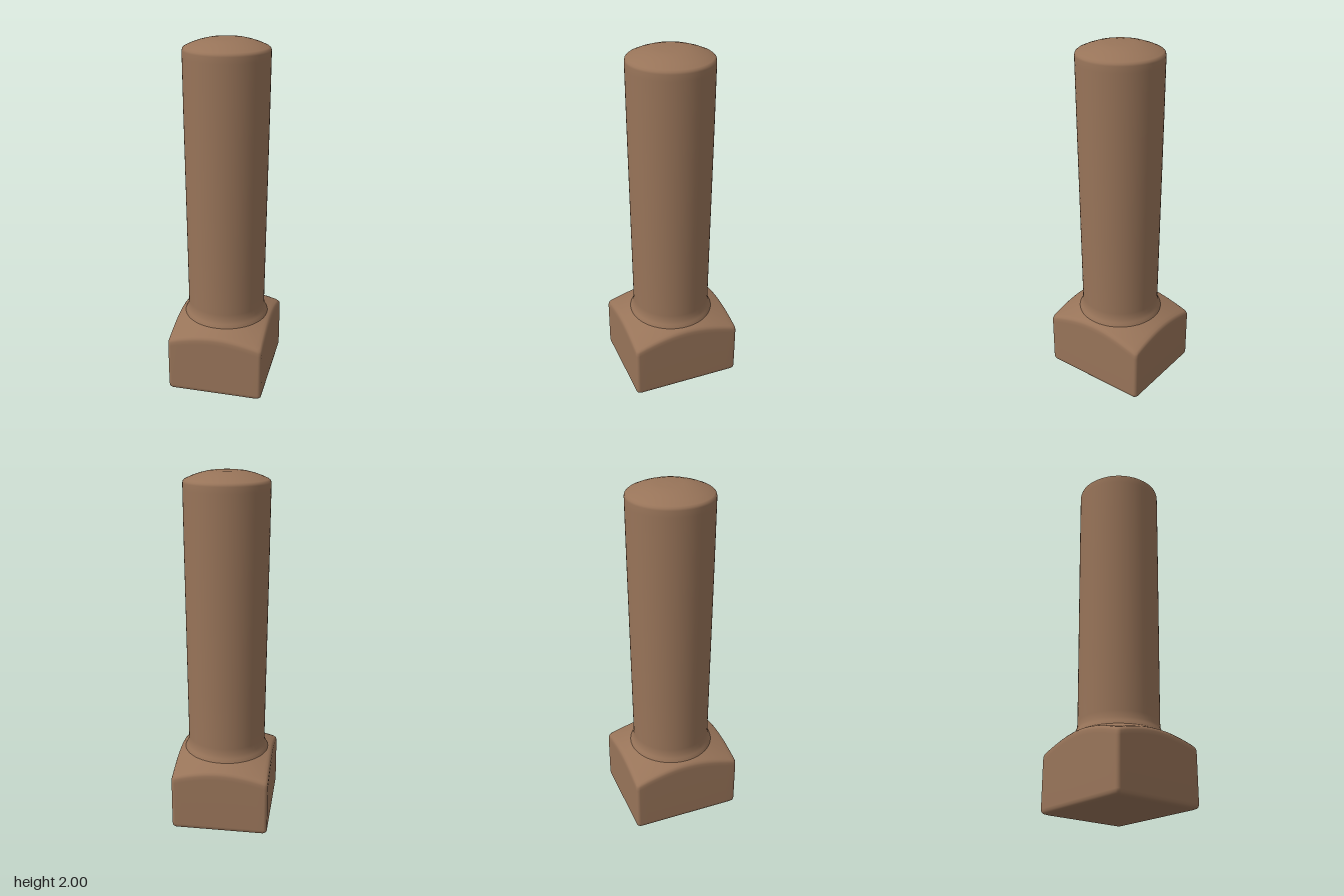
import * as THREE from 'three';

const HALF_X = 0.318, HALF_Z = 0.274, CORNER = 0.02;

// Rounded rectangle outline, counter-clockwise seen from above
function outline(inset) {
  const hx = HALF_X - inset - CORNER, hz = HALF_Z - inset - CORNER;
  const corners = [[hx, -hz], [-hx, -hz], [-hx, hz], [hx, hz]];
  const arcs = corners.map(([cx, cz], k) => Array.from({ length: 6 }, (_, i) => {
    const a = (k + i / 5) * Math.PI / 2;
    return new THREE.Vector2(cx + CORNER * Math.cos(a), cz - CORNER * Math.sin(a));
  }));
  const pts = [];
  arcs.forEach((arc, k) => {
    pts.push(...arc);
    const next = arcs[(k + 1) % 4][0];
    for (let i = 1; i < 14; i++) pts.push(arc[5].clone().lerp(next, i / 14));
  });
  return pts;
}

// Conical chamfer height at a given distance from the axis
const chamfer = (r) => 0.405 - (r - 0.24) * 0.45;

function headGeometry() {
  const rings = [];
  const add = (pts, height) => rings.push(pts.map(p => [p.x, height(p), p.y]));
  // Flat underside and softened lower edge
  add(outline(0).map(p => p.multiplyScalar(0)), () => 0.003);
  for (const [inset, y] of [[0.05, 0.004], [0.022, 0.006], [0.009, 0.011], [0.002, 0.02], [0, 0.035]])
    add(outline(inset), () => y);
  // Softened upper edge following the cone
  for (const [inset, drop] of [[0, 0.035], [0.001, 0.015], [0.005, 0.005], [0.014, 0]])
    add(outline(inset), p => chamfer(p.length()) - drop);
  // Chamfer surface closing in on the shank
  for (let i = 1; i <= 6; i++)
    add(outline(0.014).map(p => p.clone().lerp(p.clone().setLength(0.2), i / 6)), p => chamfer(p.length()));

  const n = rings[0].length, index = [];
  for (let j = 0; j < rings.length - 1; j++)
    for (let i = 0; i < n; i++) {
      const a = j * n + i, b = j * n + (i + 1) % n;
      index.push(a, b, b + n, a, b + n, a + n);
    }
  const geo = new THREE.BufferGeometry();
  geo.setAttribute('position', new THREE.Float32BufferAttribute(rings.flat(2), 3));
  geo.setIndex(index);
  geo.computeVertexNormals();
  return geo;
}

export function createModel() {
  const group = new THREE.Group();
  group.name = 'squareHeadBolt';
  const brown = new THREE.MeshStandardMaterial({ color: 0x987459 });
  brown.name = 'warmBrown';

  // Square head, turned about the axis
  const head = new THREE.Mesh(headGeometry(), brown);
  head.name = 'head';
  head.rotation.y = 0.672;
  group.add(head);

  // Shank with a small collar at the foot and a domed tip
  const profile = [
    [0.25, 0.385], [0.242, 0.408], [0.234, 0.425], [0.225, 0.445], [0.223, 0.48],
    [0.226, 0.8], [0.23, 1.2], [0.234, 1.6], [0.236, 1.9], [0.236, 1.935],
    [0.233, 1.946], [0.224, 1.954], [0.19, 1.969], [0.15, 1.983], [0.11, 1.993],
    [0.07, 1.998], [0, 2],
  ].map(([r, y]) => new THREE.Vector2(r, y));
  const shank = new THREE.Mesh(new THREE.LatheGeometry(profile, 64), brown);
  shank.name = 'shank';
  group.add(shank);

  return group;
}
